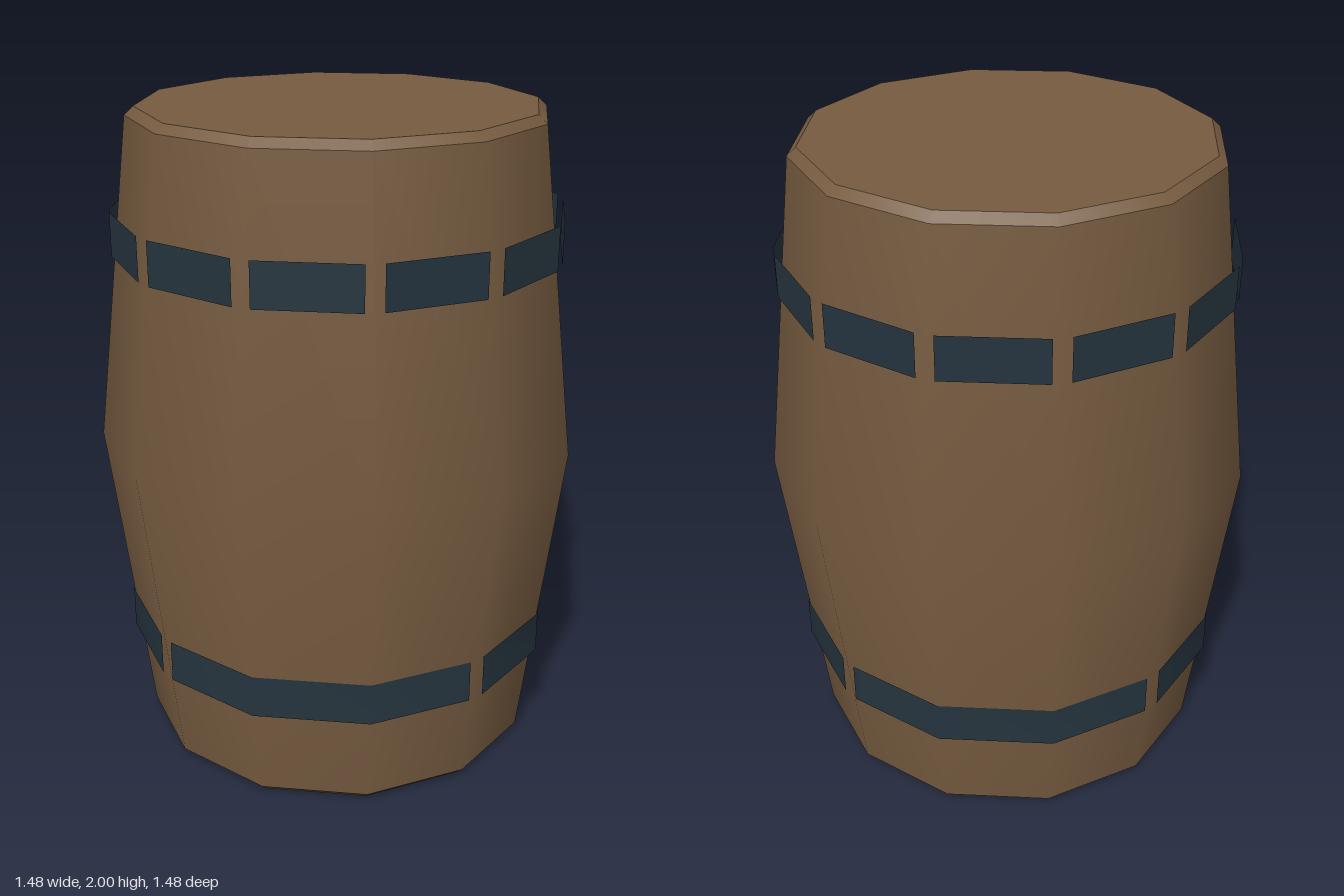
import * as THREE from 'three';

const SIDES = 12;

export function createModel() {
  const group = new THREE.Group();

  const wood = new THREE.MeshStandardMaterial({ color: 0x765b40 });
  wood.name = 'brown wood';
  const iron = new THREE.MeshStandardMaterial({ color: 0x25343e, side: THREE.DoubleSide });
  iron.name = 'dark iron';

  const add = (name, geometry, material) => {
    const mesh = new THREE.Mesh(geometry, material);
    mesh.name = name;
    group.add(mesh);
  };

  // Wooden body: each section is a separate lathe so its rims stay sharp
  const turned = (name, profile) => {
    const points = profile.map(([r, y]) => new THREE.Vector2(r, y));
    add(name, new THREE.LatheGeometry(points, SIDES), wood);
  };
  turned('bottomLid', [[0, 0], [0.595, 0]]);
  turned('bottomBevel', [[0.595, 0], [0.622, 0.025]]);
  turned('staves', [[0.622, 0.025], [0.74, 1], [0.622, 1.975]]);
  turned('topBevel', [[0.622, 1.975], [0.595, 2]]);
  turned('topLid', [[0.595, 2], [0, 2]]);

  // Thin hoop plate over `span` sides, trimmed at both ends to leave a gap
  const plate = (start, span, radius, y0, y1) => {
    const ring = [];
    for (let i = 0; i <= span; i++) {
      const a = ((start + i) / SIDES) * Math.PI * 2;
      ring.push(new THREE.Vector3(Math.sin(a) * radius, 0, Math.cos(a) * radius));
    }
    const trim = 0.0274 / ring[0].distanceTo(ring[1]);
    const first = ring[0].clone().lerp(ring[1], trim);
    const last = ring[span].clone().lerp(ring[span - 1], trim);
    ring[0] = first;
    ring[span] = last;

    const positions = [], index = [];
    ring.forEach((p, i) => {
      positions.push(p.x, y0, p.z, p.x, y1, p.z);
      if (i < span) {
        const k = i * 2;
        index.push(k, k + 2, k + 1, k + 1, k + 2, k + 3);
      }
    });
    const geometry = new THREE.BufferGeometry();
    geometry.setAttribute('position', new THREE.Float32BufferAttribute(positions, 3));
    geometry.setIndex(index);
    geometry.computeVertexNormals();
    return geometry;
  };

  // Upper hoop has a plate on every side, lower hoop has four long plates
  const hoop = (name, span, radius, y0, y1) => {
    for (let s = 0; s < SIDES; s += span) add(name, plate(s, span, radius, y0, y1), iron);
  };
  hoop('upperHoopPlate', 1, 0.688, 1.568, 1.7);
  hoop('lowerHoopPlate', 3, 0.676, 0.313, 0.445);

  return group;
}
